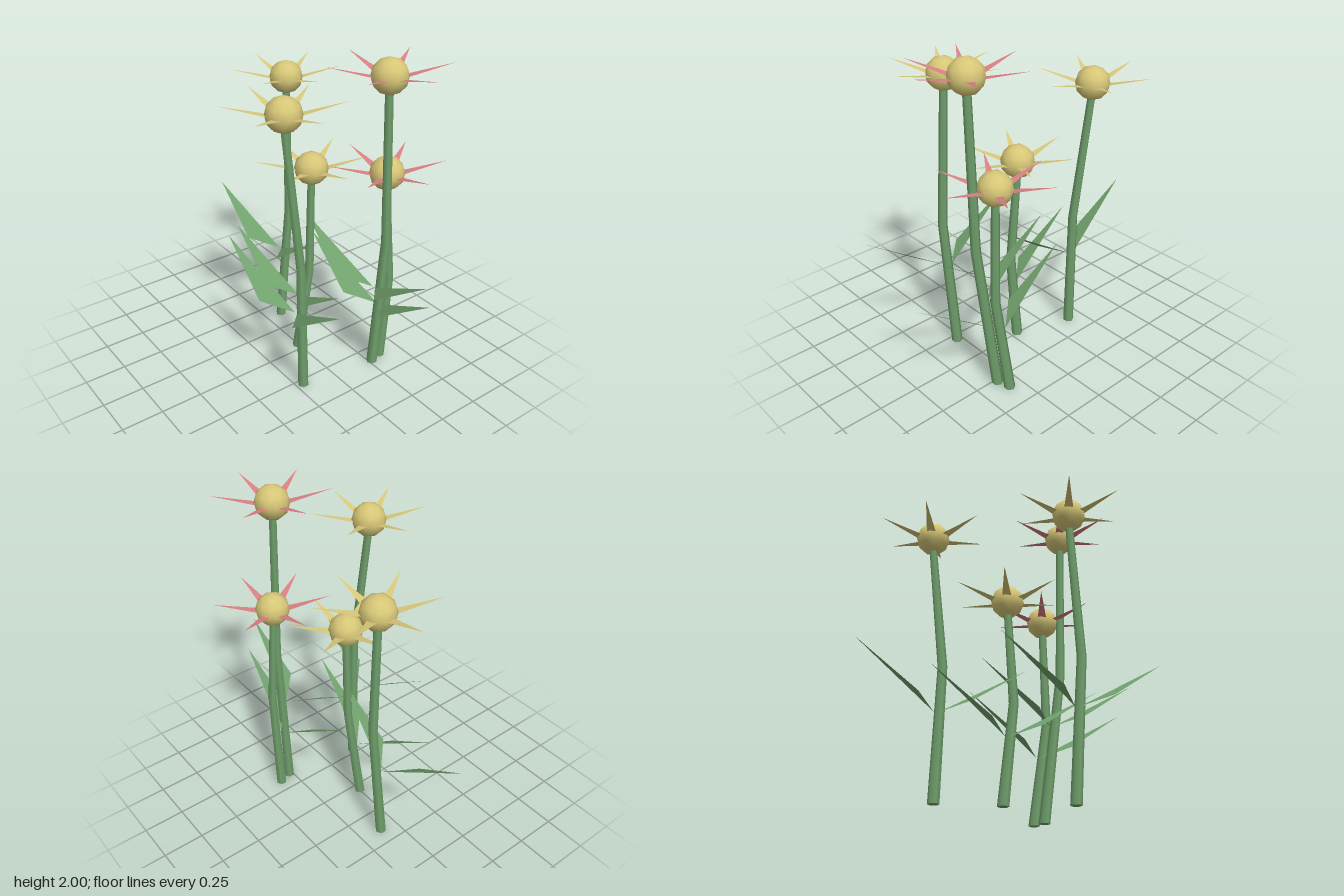
import * as THREE from 'three';

const mat = (name, color, side = THREE.FrontSide) => {
  const m = new THREE.MeshStandardMaterial({ color, side });
  m.name = name;
  return m;
};

// base, bend and head positions of each flower; leafX is where its two leaves meet
const FLOWERS = [
  { base: [-0.395, -0.11], bendX: -0.355, head: [-0.43, 1.65, -0.195], leafX: -0.40, pink: false },
  { base: [-0.045, 0.005], bendX: 0.035, head: [0.01, 1.255, -0.055], leafX: -0.025, pink: false },
  { base: [0.285, 0.205], bendX: 0.325, head: [0.243, 1.735, 0.297], leafX: 0.28, pink: false },
  { base: [0.36, -0.27], bendX: 0.47, head: [0.473, 1.9, -0.195], leafX: 0.395, pink: true },
  { base: [0.335, -0.35], bendX: 0.415, head: [0.383, 1.3, -0.295], leafX: 0.345, pink: true },
];

function triangle(a, b, c) {
  const g = new THREE.BufferGeometry();
  g.setAttribute('position', new THREE.Float32BufferAttribute([...a, ...b, ...c], 3));
  g.computeVertexNormals();
  return g;
}

// six-sided tapering stem, its rings shifted sideways to follow the bend
function stemGeometry({ base, bendX, head }) {
  const h = head[1] - 0.05;
  const g = new THREE.CylinderGeometry(0.023, 0.033, h, 6, 2);
  g.translate(0, h / 2, 0);
  const p = g.attributes.position;
  for (let i = 0; i < p.count; i++) {
    const t = p.getY(i) / h;
    const x = t < 0.5
      ? THREE.MathUtils.lerp(base[0], bendX, t * 2)
      : THREE.MathUtils.lerp(bendX, head[0], t * 2 - 1);
    p.setX(i, p.getX(i) + x);
    p.setZ(i, p.getZ(i) + THREE.MathUtils.lerp(base[1], head[2], t));
  }
  return g;
}

export function createModel() {
  const green = mat('stemGreen', 0x70a06c);
  const leafGreen = mat('leafGreen', 0x70a06c, THREE.DoubleSide);
  const yellow = mat('headYellow', 0xd8c878);
  const petalYellow = mat('petalYellow', 0xd8c878, THREE.DoubleSide);
  const petalPink = mat('petalPink', 0xda8083, THREE.DoubleSide);

  // round head with a corner of the icosahedron pointing up
  const headGeo = new THREE.IcosahedronGeometry(0.1, 1);
  headGeo.rotateX(-Math.atan((1 + Math.sqrt(5)) / 2));
  headGeo.rotateY(Math.PI / 2);

  // pointed petal rising outwards along +x
  const petalGeo = triangle([0.07, -0.006, 0.029], [0.332, 0.058, 0], [0.07, -0.006, -0.029]);

  const model = new THREE.Group();
  model.name = 'flowers';

  FLOWERS.forEach((f) => {
    const flower = new THREE.Group();
    flower.name = 'flower';
    const add = (name, geo, material, parent = flower) => {
      const m = new THREE.Mesh(geo, material);
      m.name = name;
      parent.add(m);
      return m;
    };

    add('stem', stemGeometry(f), green);

    // head with its ring of petals
    const blossom = new THREE.Group();
    blossom.name = 'blossom';
    blossom.position.set(...f.head);
    add('head', headGeo, yellow, blossom);
    for (let i = 0; i < 6; i++) {
      add('petal', petalGeo, f.pink ? petalPink : petalYellow, blossom).rotation.y = i * Math.PI / 3;
    }
    flower.add(blossom);

    // mirrored pair of leaves three tenths of the way up
    const z = THREE.MathUtils.lerp(f.base[1], f.head[2], 0.3);
    for (const s of [1, -1]) {
      const root = [s * 0.01, 0.012, 0.02];
      const corner = [s * 0.16, 0.065, 0.162];
      const tip = [s * 0.52, 0.32, 0.13];
      const geo = s > 0 ? triangle(root, corner, tip) : triangle(root, tip, corner);
      add(s > 0 ? 'leftLeaf' : 'rightLeaf', geo, leafGreen)
        .position.set(f.leafX, f.head[1] * 0.3, z);
    }
    model.add(flower);
  });
  return model;
}
